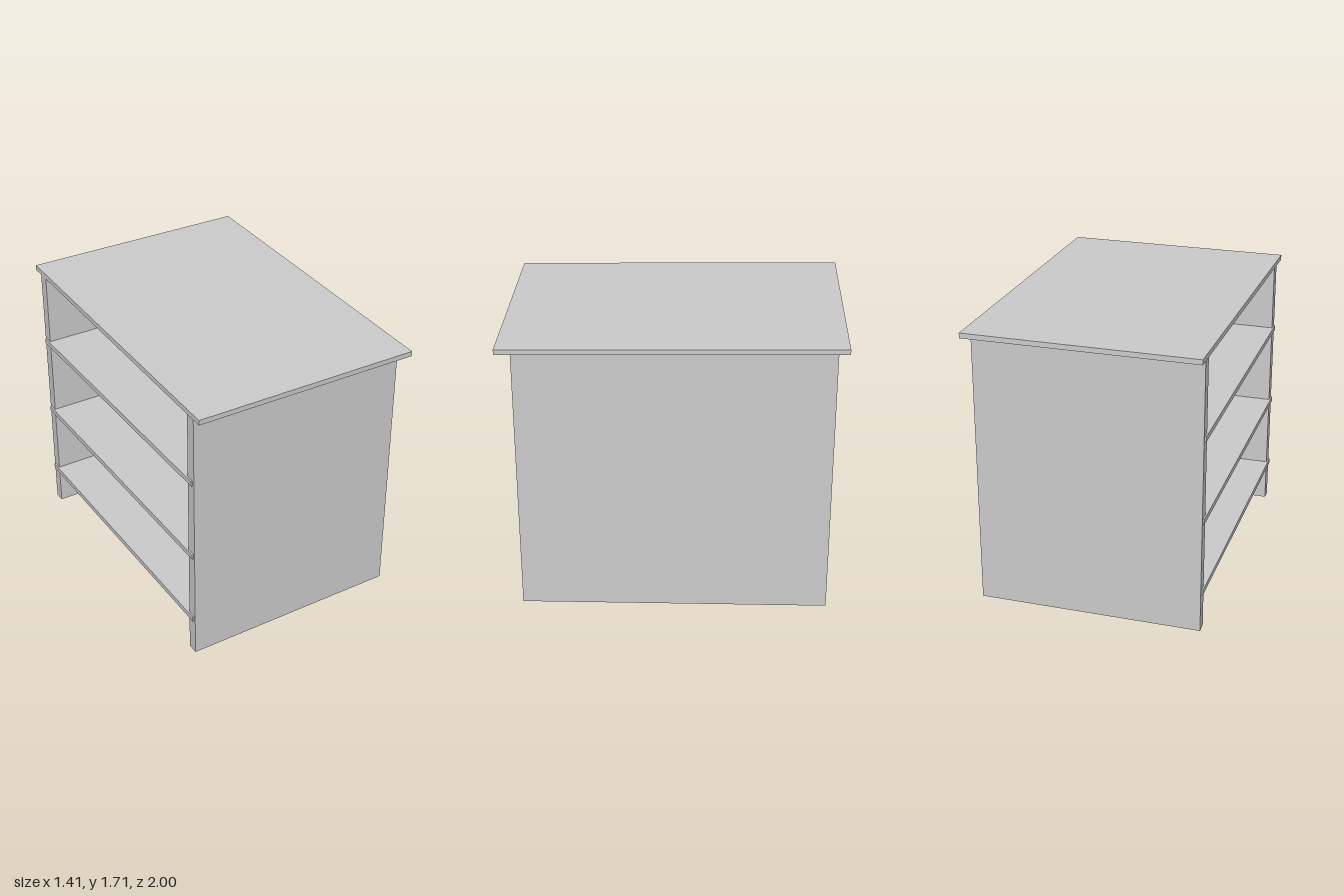
import * as THREE from 'three';

const material = new THREE.MeshStandardMaterial({ color: 0xcccccc, flatShading: true });

// Box given by its lower and upper bounds on each axis
function panel(name, [x0, x1], [y0, y1], [z0, z1]) {
  const mesh = new THREE.Mesh(new THREE.BoxGeometry(x1 - x0, y1 - y0, z1 - z0), material);
  mesh.position.set((x0 + x1) / 2, (y0 + y1) / 2, (z0 + z1) / 2);
  mesh.name = name;
  return mesh;
}

export function createModel() {
  const group = new THREE.Group();
  group.name = 'shelfCabinet';
  const left = -0.69, right = 0.66, front = 0.91, back = -0.93, t = 0.065;

  // Front and back walls, reaching into the tilted top
  group.add(panel('frontWall', [left, right], [0, 1.66], [front - t, front]));
  group.add(panel('backWall', [left, right], [0, 1.685], [back, back + t]));

  // Closed side wall, its upper edge sloping with the top
  const side = new THREE.Shape([
    new THREE.Vector2(-front + t, 0),
    new THREE.Vector2(-back - t, 0),
    new THREE.Vector2(-back - t, 1.685),
    new THREE.Vector2(-front + t, 1.66),
  ]);
  const sideWall = new THREE.Mesh(
    new THREE.ExtrudeGeometry(side, { depth: t, bevelEnabled: false }), material);
  sideWall.rotation.y = Math.PI / 2;
  sideWall.position.x = right - t;
  sideWall.name = 'sideWall';
  group.add(sideWall);

  // Shelves, let into the walls and standing slightly proud of the open side
  [0.25, 0.71, 1.218].forEach((y, i) => {
    group.add(panel(`shelf${i + 1}`, [-0.7, right - t / 2], [y - 0.016, y + 0.016],
      [back + 0.012, front - 0.012]));
  });

  // Overhanging top, tilted towards the front and very slightly askew
  const top = panel('top', [-0.697, 0.697], [1.666, 1.697], [-0.995, 0.995]);
  top.rotation.set(0.0145, -0.006, -0.004);
  group.add(top);

  return group;
}
